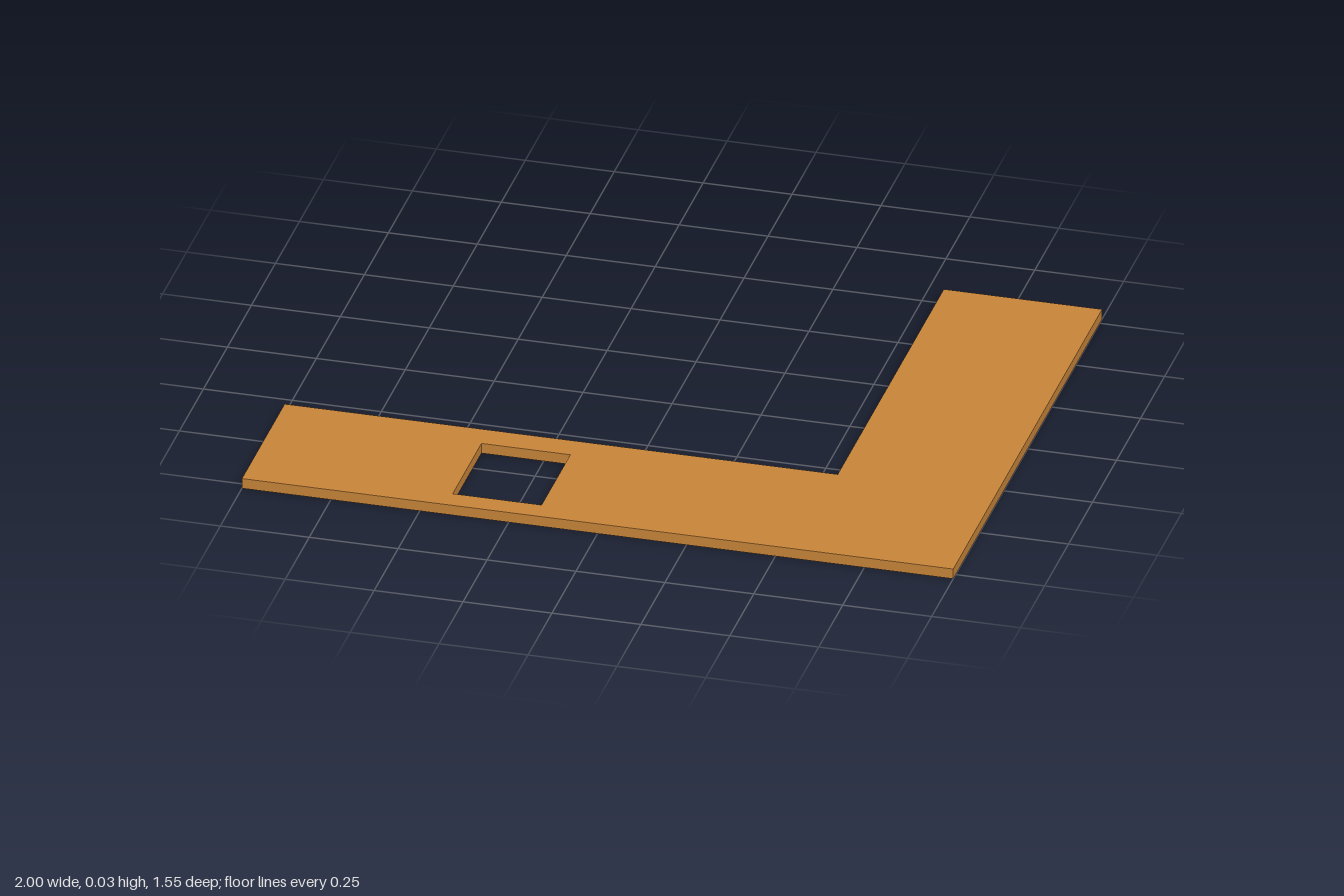
import * as THREE from 'three';

const THICKNESS = 0.03;

// Corners are given as [x, z]; the shape is drawn with y = -z and laid flat later.
const toPoints = (corners) => corners.map(([x, z]) => new THREE.Vector2(x, -z));

export function createModel() {
  const group = new THREE.Group();
  group.name = 'cornerPanel';

  // L-shaped outline
  const outline = new THREE.Shape(toPoints([
    [-1, 0.775], [1, 0.775], [1, -0.775], [0.555, -0.775], [0.555, 0.33], [-1, 0.33],
  ]));

  // Rectangular cut-out in the long front arm
  outline.holes.push(new THREE.Path(toPoints([
    [-0.425, 0.41], [-0.175, 0.41], [-0.175, 0.71], [-0.425, 0.71],
  ])));

  // Flat slab resting on the ground
  const geometry = new THREE.ExtrudeGeometry(outline, { depth: THICKNESS, bevelEnabled: false });
  geometry.rotateX(-Math.PI / 2);

  const panel = new THREE.Mesh(geometry, new THREE.MeshStandardMaterial({ color: 0xc8853a }));
  panel.name = 'countertop';
  group.add(panel);
  return group;
}
